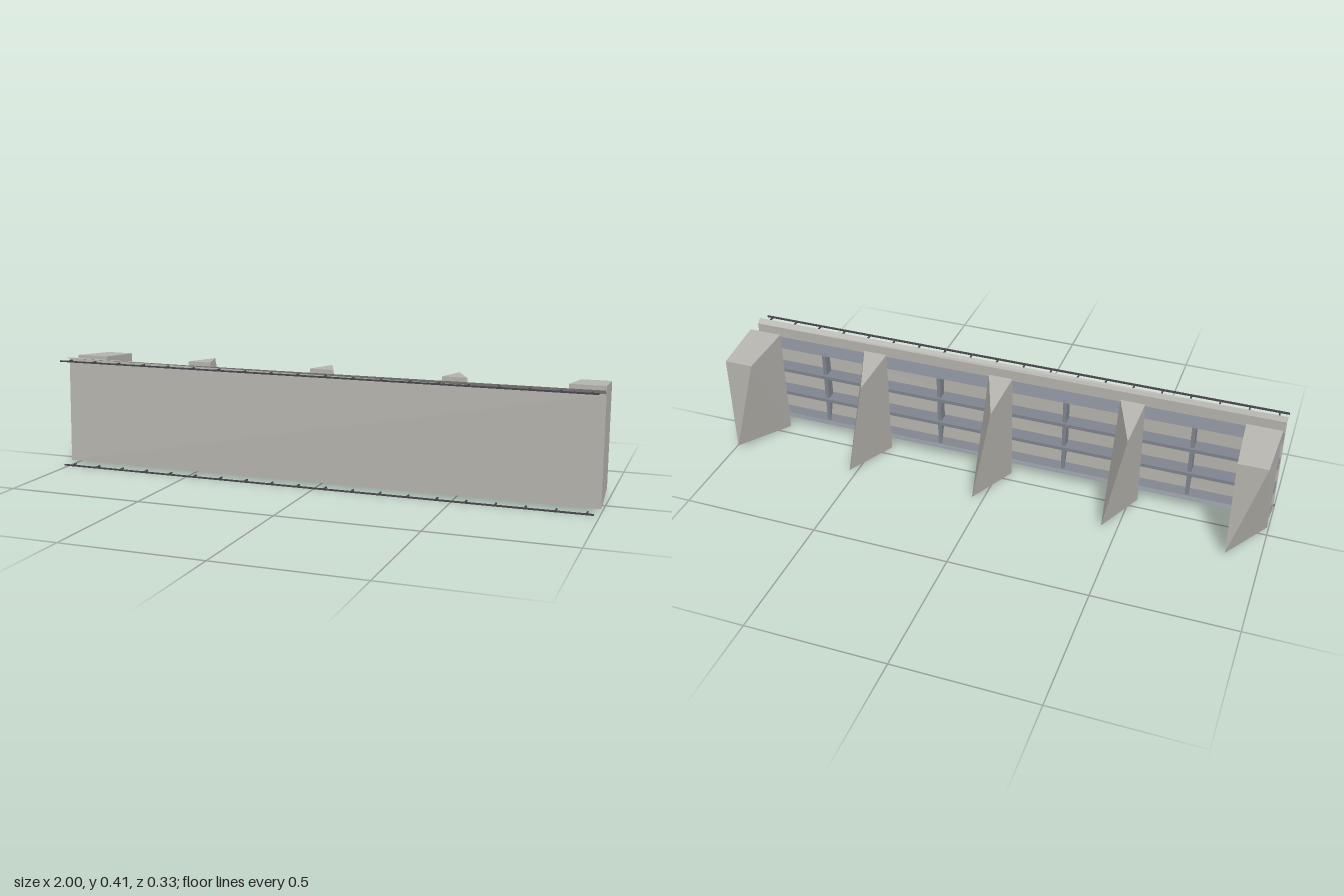
import * as THREE from 'three';
import { ConvexGeometry } from 'three/addons/geometries/ConvexGeometry.js';

const concrete = new THREE.MeshStandardMaterial({ color: 0xb7b5af, side: THREE.DoubleSide });
concrete.name = 'concrete grey';
const steel = new THREE.MeshStandardMaterial({ color: 0x7f848e });
steel.name = 'steel blue grey';
const dark = new THREE.MeshStandardMaterial({ color: 0x46464a });
dark.name = 'dark rail';

const mesh = (name, geometry, material) => {
  const m = new THREE.Mesh(geometry, material);
  m.name = name;
  return m;
};

// Solid hull around a few corners
const hull = (points) => new ConvexGeometry(points.map((p) => new THREE.Vector3(...p)));

// Profile of [z, y] points swept between two x positions
const sweep = (profile, x0, x1) =>
  hull(profile.flatMap(([z, y]) => [[x0, y, z], [x1, y, z]]));

// Flat-shaded four-cornered sheet, split along the first-third diagonal
function sheet(a, b, c, d) {
  const g = new THREE.BufferGeometry();
  g.setAttribute('position', new THREE.Float32BufferAttribute([a, b, c, a, c, d].flat(), 3));
  g.computeVertexNormals();
  return g;
}

// Buttress: full front, chamfered back; narrow ones keep only a diagonal back edge
function buttress(name, x0, x1, inset, narrow) {
  const b0 = x0 + inset, b1 = x1 - inset;
  const pts = [
    [x0, 0, 0.043], [x1, 0, 0.043], [x0, 0.415, 0.043], [x1, 0.415, 0.043],
    [b0, 0.398, -0.165], [b1, 0.02, -0.165],
  ];
  if (!narrow) pts.push([b1, 0.398, -0.165]);
  return mesh(name, hull(pts), concrete);
}

export function createModel() {
  const model = new THREE.Group();
  model.name = 'wallSection';

  // Front panel with its top flange
  const topLeft = [-1, 0.413, 0.098], topRight = [1, 0.4, 0.112];
  model.add(mesh('frontPanel',
    sheet([-1, 0.018, 0.112], [1, 0.018, 0.112], topRight, topLeft), concrete));
  model.add(mesh('topFlange',
    sheet([-1, 0.415, 0.13], [1, 0.415, 0.13], topRight, topLeft), concrete));

  // Buttresses
  model.add(buttress('endButtressRight', -0.995, -0.872, 0.01, false));
  model.add(buttress('endButtressLeft', 0.868, 0.992, 0.01, false));
  for (const x of [-0.483, -0.003, 0.481]) {
    model.add(buttress('middleButtress', x - 0.044, x + 0.044, 0.008, true));
  }

  // Horizontal ribs
  const ribs = [
    [[0.098, 0.37], [0.043, 0.357], [0.088, 0.357]],
    [[0.098, 0.267], [0.043, 0.267], [0.043, 0.254], [0.088, 0.254]],
    [[0.098, 0.164], [0.043, 0.164], [0.043, 0.151], [0.088, 0.151]],
    [[0.097, 0.06], [0.053, 0.057], [0.043, 0.047]],
  ];
  for (const profile of ribs) model.add(mesh('horizontalRib', sweep(profile, -0.998, 0.99), steel));

  // Vertical posts between the buttresses, tapering at the foot
  const post = [[0.088, 0.36], [0.053, 0.36], [0.053, 0.062], [0.088, 0.157]];
  for (const x of [-0.7, -0.24, 0.24, 0.7]) {
    model.add(mesh('verticalPost', sweep(post, x - 0.007, x + 0.007), steel));
  }

  // Toothed rails along the top and bottom
  for (const y of [0.408, 0.01]) {
    const rail = new THREE.Group();
    rail.name = y > 0.2 ? 'topRail' : 'bottomRail';
    const bar = mesh('railBar', new THREE.BoxGeometry(1.985, 0.005, 0.007), dark);
    bar.position.set(-0.008, y, 0.162);
    rail.add(bar);
    for (let i = 0; i < 20; i++) {
      const tooth = mesh('railTooth', new THREE.BoxGeometry(0.005, 0.005, 0.028), dark);
      tooth.position.set(-0.968 + i * 0.1015, y, 0.146);
      rail.add(tooth);
    }
    model.add(rail);
  }
  return model;
}
